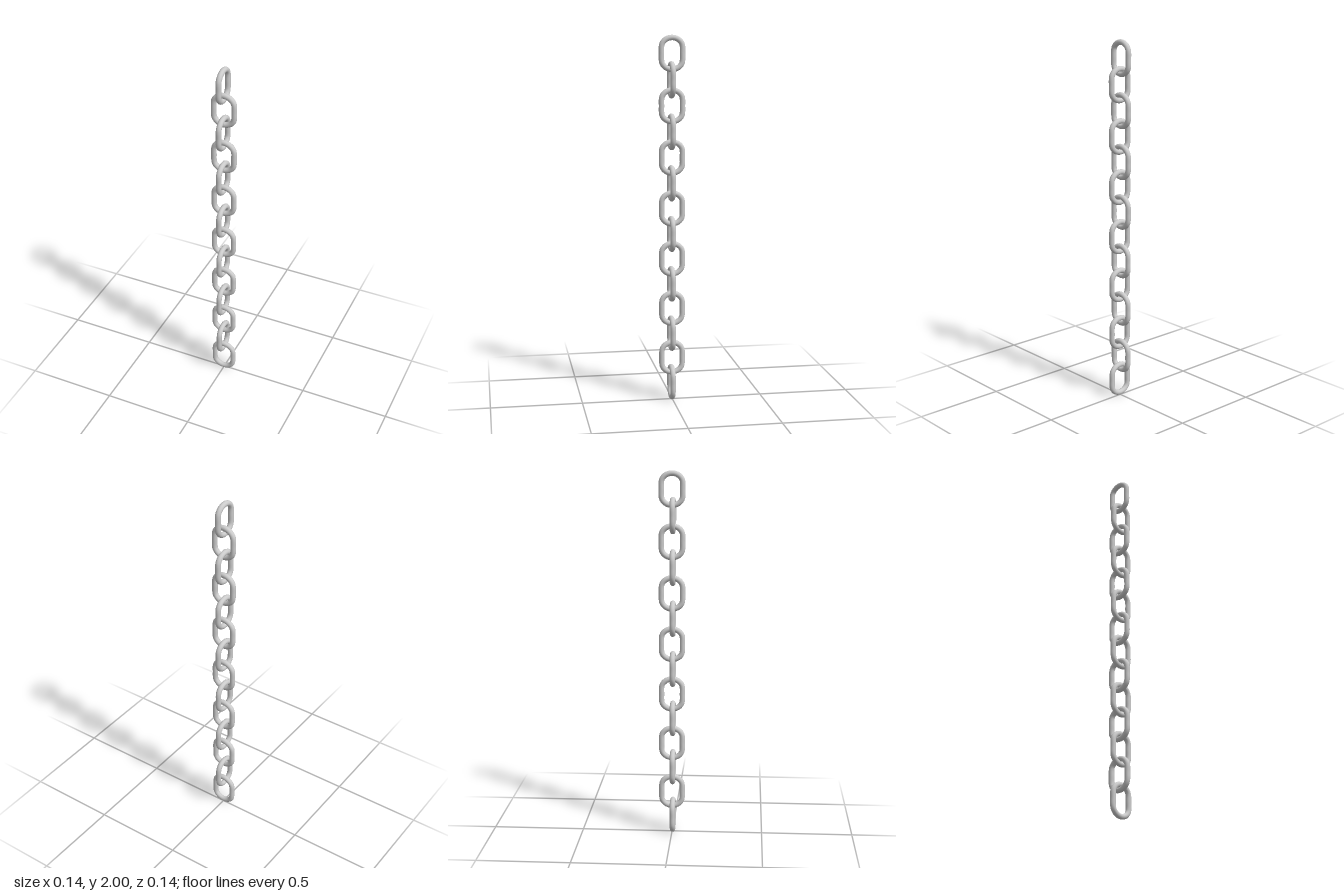
import * as THREE from 'three';

const LINKS = 14;
const WIRE = 0.0147;        // wire radius
const LENGTH = 0.197;       // outer length of a link
const WIDTH = 0.143;        // outer width of a link
const PITCH = (2 - LENGTH) / (LINKS - 1);

// Oblong ring: two straight sides joined by slightly flattened arcs
function linkGeometry() {
  const a = WIDTH / 2 - WIRE;
  const b = 0.05;
  const straight = LENGTH / 2 - WIRE - b;
  const points = [];
  const steps = 10;
  for (const side of [1, -1]) {
    for (let i = 0; i <= steps; i++) {
      const t = (i / steps) * Math.PI;
      points.push(new THREE.Vector3(
        side * a * Math.cos(t), side * (straight + b * Math.sin(t)), 0));
    }
    points.push(new THREE.Vector3(-side * a, 0, 0));
  }
  const path = new THREE.CatmullRomCurve3(points, true);
  return new THREE.TubeGeometry(path, 64, WIRE, 14, true);
}

export function createModel() {
  const chain = new THREE.Group();
  chain.name = 'chain';
  const material = new THREE.MeshStandardMaterial({ color: 0xcccccc });
  const geometry = linkGeometry();

  // Links alternate by a quarter turn, starting at the bottom
  for (let i = 0; i < LINKS; i++) {
    const turned = i % 2 === 1;
    const link = new THREE.Mesh(geometry, material);
    link.name = turned ? 'sideLink' : 'frontLink';
    link.position.set(turned ? -0.006 : 0, LENGTH / 2 + i * PITCH, turned ? 0 : 0.004);
    if (turned) link.rotation.y = Math.PI / 2;
    chain.add(link);
  }
  return chain;
}
